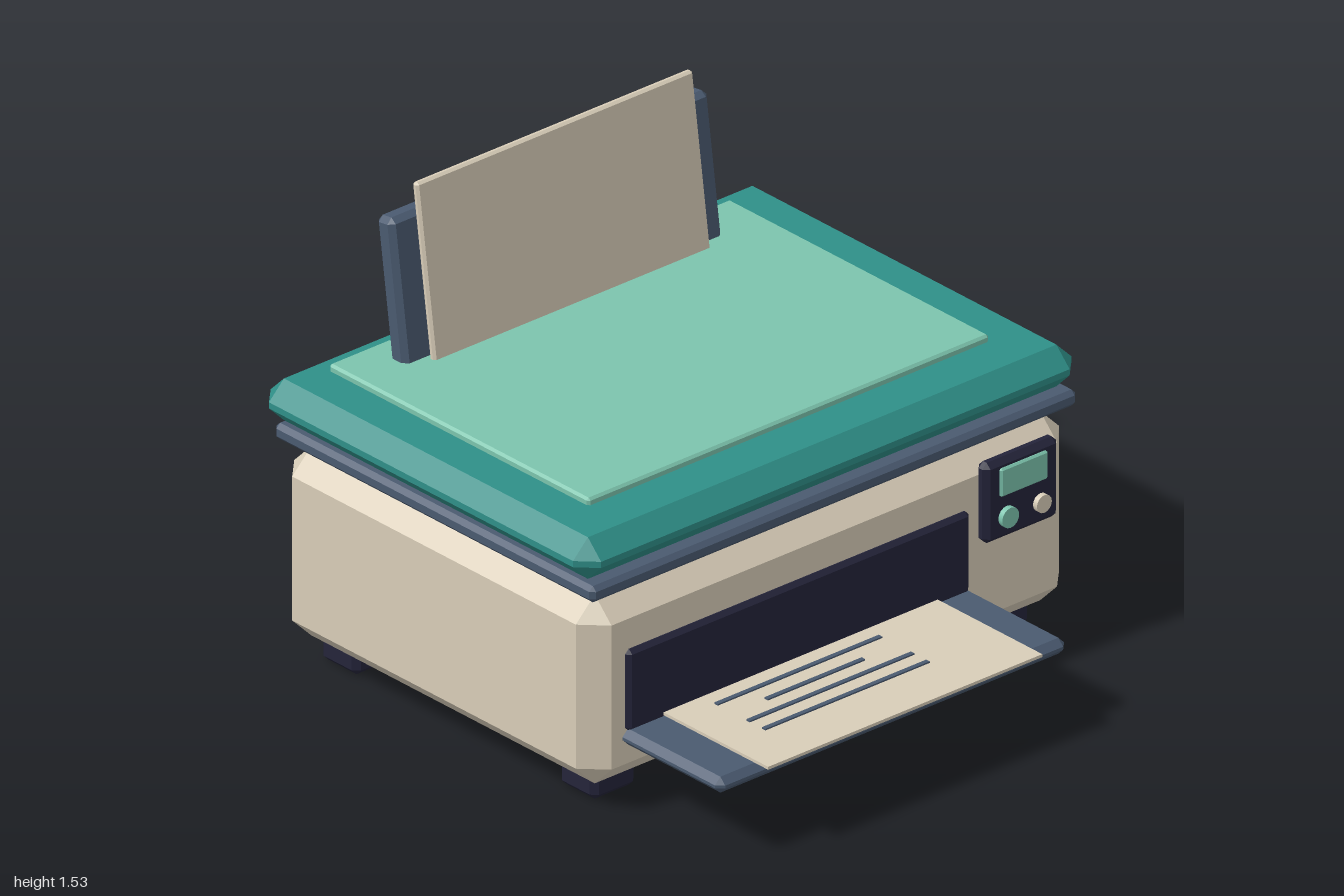
import * as THREE from 'three';
import { ConvexGeometry } from 'three/addons/geometries/ConvexGeometry.js';

function material(name, color) {
  const m = new THREE.MeshStandardMaterial({ color });
  m.name = name;
  return m;
}

// Box with every edge cut at 45 degrees and triangular corners
function chamferBox(w, h, d, c) {
  const points = [];
  for (const x of [-1, 1]) for (const y of [-1, 1]) for (const z of [-1, 1]) {
    const X = w / 2, Y = h / 2, Z = d / 2;
    points.push(
      new THREE.Vector3(x * X, y * (Y - c), z * (Z - c)),
      new THREE.Vector3(x * (X - c), y * Y, z * (Z - c)),
      new THREE.Vector3(x * (X - c), y * (Y - c), z * Z));
  }
  return new ConvexGeometry(points);
}

export function createModel() {
  const model = new THREE.Group();
  model.name = 'printer';

  const cream = material('cream', 0xd8cdb8);
  const teal = material('teal', 0x2f8f88);
  const mint = material('mint', 0x7cc4ad);
  const slate = material('slate', 0x4a5a70);
  const ink = material('ink', 0x24243a);

  // Adds a block given its low and high bounds on each axis
  function block(name, mat, [x0, x1], [y0, y1], [z0, z1], c = 0) {
    const w = x1 - x0, h = y1 - y0, d = z1 - z0;
    const mesh = new THREE.Mesh(c ? chamferBox(w, h, d, c) : new THREE.BoxGeometry(w, h, d), mat);
    mesh.name = name;
    mesh.position.set((x0 + x1) / 2, (y0 + y1) / 2, (z0 + z1) / 2);
    model.add(mesh);
    return mesh;
  }

  // Main housing, trim band, scanner lid and lid panel
  block('body', cream, [-0.97, 0.97], [0.08, 0.72], [-0.935, 0.5], 0.076);
  block('trimBand', slate, [-0.975, 0.975], [0.742, 0.797], [-0.94, 0.505], 0.015);
  block('lid', teal, [-1, 1], [0.797, 0.938], [-0.99, 0.505], 0.06);
  block('lidPanel', mint, [-0.805, 0.805], [0.93, 0.961], [-0.88, 0.295], 0.008);

  // Feet
  for (const x of [-0.79, 0.79]) for (const z of [-0.757, 0.32]) {
    block('foot', ink, [x - 0.088, x + 0.088], [0, 0.11], [z - 0.083, z + 0.083], 0.02);
  }

  // Rear paper support and sheet, leaning back together
  const lean = -0.14;
  function leaning(name, mat, width, height, depth, c, topY, topZ) {
    const mesh = new THREE.Mesh(chamferBox(width, height, depth, c), mat);
    mesh.name = name;
    mesh.rotation.x = lean;
    mesh.position.set(0, topY - Math.cos(lean) * height / 2, topZ - Math.sin(lean) * -height / 2);
    mesh.position.z = topZ + Math.sin(-lean) * height / 2;
    model.add(mesh);
  }
  leaning('paperSupport', slate, 1.28, 0.52, 0.075, 0.018, 1.42, -0.822);
  leaning('inputPaper', cream, 1.11, 0.64, 0.026, 0.008, 1.528, -0.775);

  // Output slot, tray and printed sheet
  block('outputSlot', ink, [-0.84, 0.535], [0.265, 0.542], [0.46, 0.517], 0.014);
  block('outputTray', slate, [-0.85, 0.55], [0.219, 0.273], [0.46, 0.94], 0.022);
  block('printedPaper', cream, [-0.7, 0.4], [0.28, 0.29], [0.48, 0.99]);
  [[0.585, 0.33], [0.66, 0.195], [0.73, 0.33], [0.8, 0.33]].forEach(([z, half]) => {
    block('printedLine', slate, [-0.22 - half, -0.22 + half], [0.289, 0.295], [z - 0.008, z + 0.008]);
  });

  // Control panel with screen and two round buttons
  block('controlPanel', ink, [0.572, 0.868], [0.418, 0.69], [0.49, 0.542], 0.018);
  block('screen', mint, [0.625, 0.815], [0.568, 0.664], [0.53, 0.551], 0.006);
  [[0.655, mint, 0.034], [0.79, cream, 0.03]].forEach(([x, mat, r]) => {
    const button = new THREE.Mesh(new THREE.CylinderGeometry(r, r, 0.03, 16), mat);
    button.name = 'button';
    button.rotation.x = Math.PI / 2;
    button.position.set(x, 0.495, 0.545);
    model.add(button);
  });

  // Side vents
  for (let i = 0; i < 6; i++) {
    const z = 0.05 - i * 0.12;
    block('vent', slate, [0.96, 0.979], [0.388, 0.578], [z - 0.03, z + 0.03]);
  }

  return model;
}
